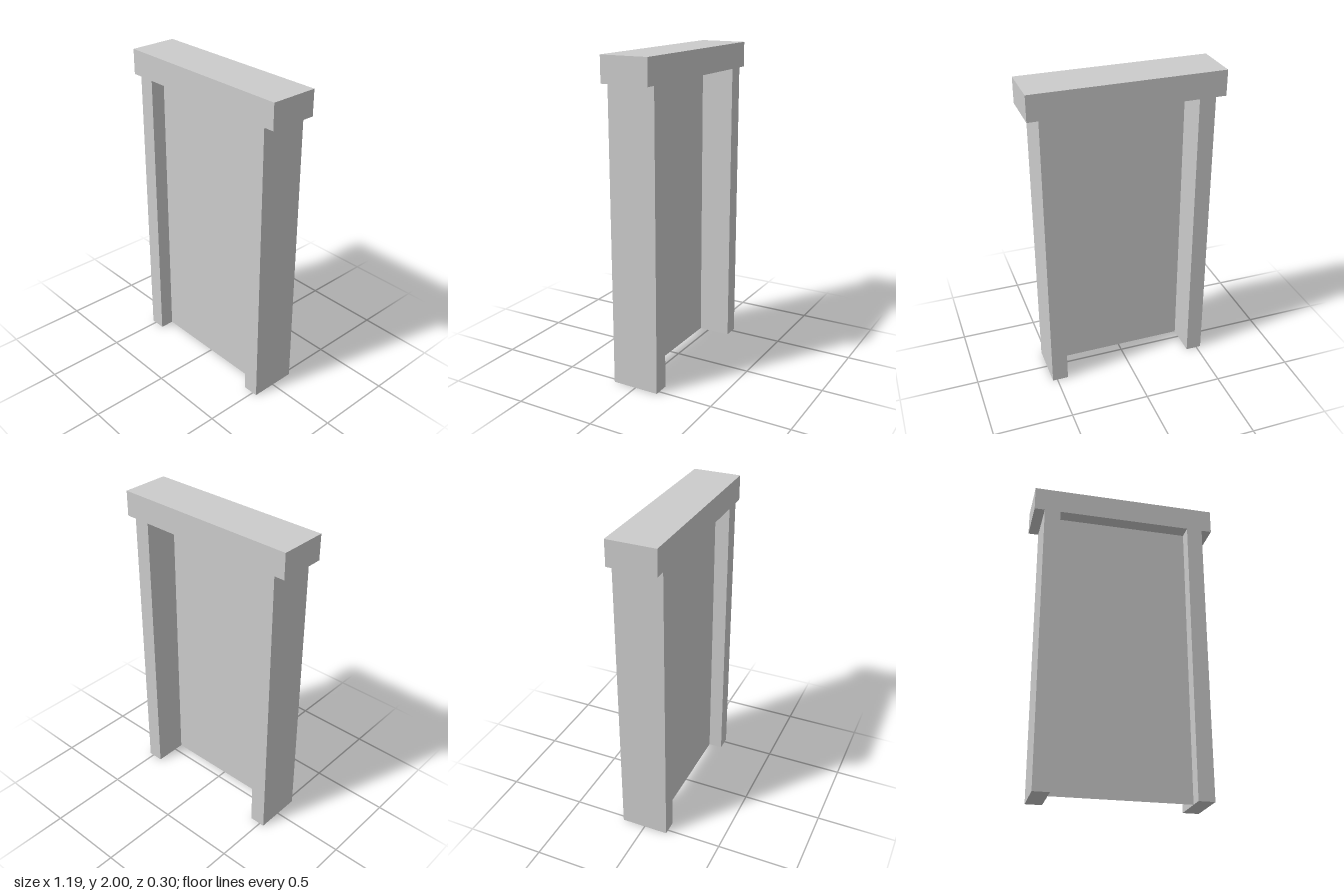
import * as THREE from 'three';

const DEPTH = 0.303, HEIGHT = 2, LINTEL_Y = 1.842;
const LINTEL_X = 0.596, OUTER_X = 0.53, INNER_X = 0.428;
const PANEL_Z = 0.061;

export function createModel() {
  const group = new THREE.Group();
  group.name = 'doorway';
  const material = new THREE.MeshStandardMaterial({ color: 0xcccccc, flatShading: true });

  // Jambs and overhanging lintel as one continuous frame
  const half = [[INNER_X, LINTEL_Y], [INNER_X, 0], [OUTER_X, 0], [OUTER_X, LINTEL_Y], [LINTEL_X, LINTEL_Y], [LINTEL_X, HEIGHT]];
  const mirrored = half.map(([x, y]) => [-x, y]).reverse();
  const outline = new THREE.Shape([...half, ...mirrored].map(([x, y]) => new THREE.Vector2(x, y)));
  const frameGeometry = new THREE.ExtrudeGeometry(outline, { depth: DEPTH, bevelEnabled: false });
  frameGeometry.translate(0, 0, -DEPTH / 2);
  const frame = new THREE.Mesh(frameGeometry, material);
  frame.name = 'doorFrame';
  group.add(frame);

  // Thin door panel, set nearer the front of the opening
  const panelMaterial = material.clone();
  panelMaterial.side = THREE.DoubleSide;
  const panel = new THREE.Mesh(new THREE.PlaneGeometry(2 * INNER_X, LINTEL_Y), panelMaterial);
  panel.name = 'doorPanel';
  panel.position.set(0, LINTEL_Y / 2, PANEL_Z);
  group.add(panel);

  return group;
}
